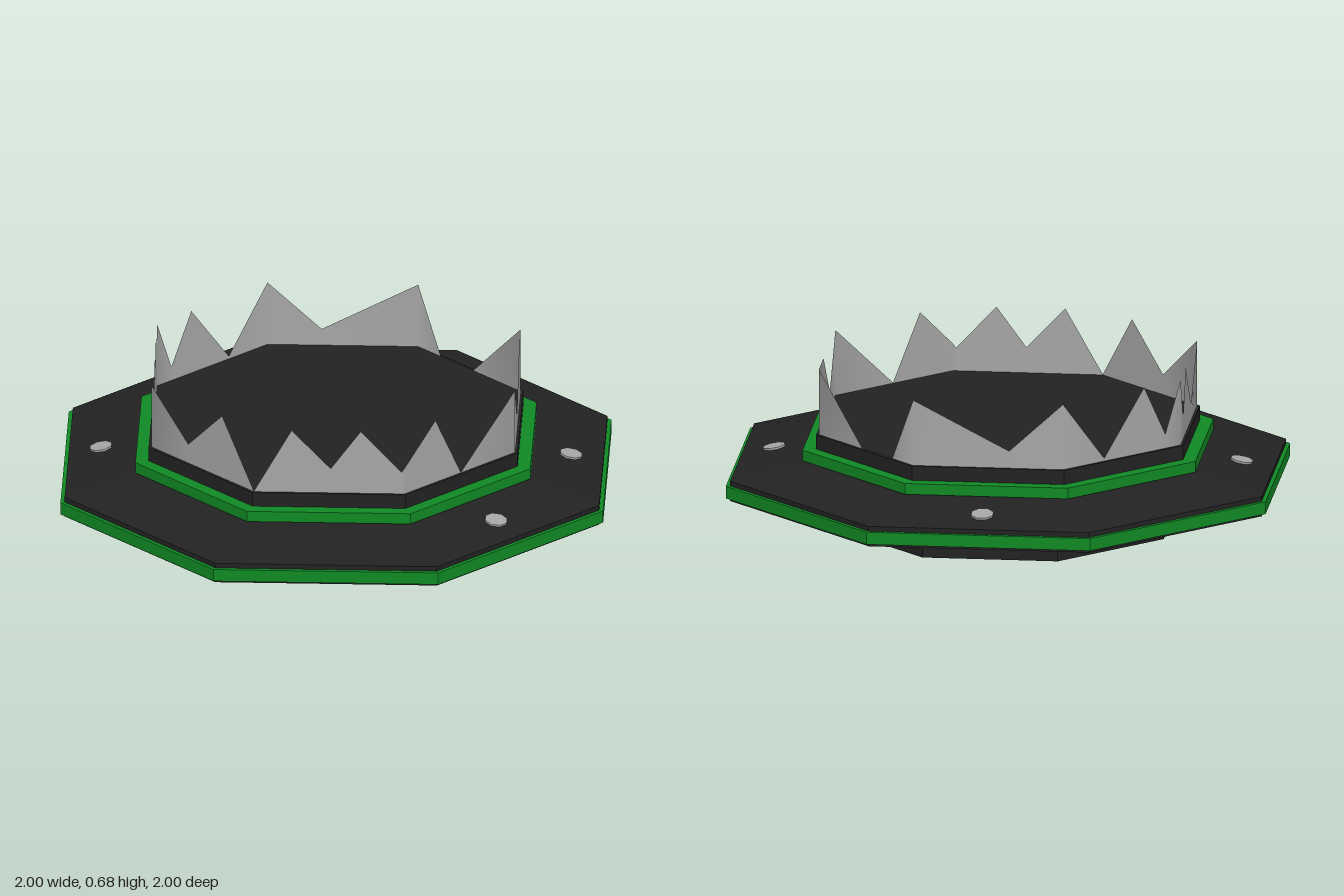
import * as THREE from 'three';

const SIDES = 8;

export function createModel() {
  const model = new THREE.Group();
  model.name = 'saucer';

  const hullDark = new THREE.MeshStandardMaterial({ color: 0x222222, flatShading: true });
  hullDark.name = 'hullDark';
  const trimGreen = new THREE.MeshStandardMaterial({ color: 0x108a24, flatShading: true });
  trimGreen.name = 'trimGreen';
  const glassGrey = new THREE.MeshStandardMaterial({ color: 0xa6a6a6, side: THREE.DoubleSide });
  glassGrey.name = 'glassGrey';

  const add = (name, geometry, material) => {
    const mesh = new THREE.Mesh(geometry, material);
    mesh.name = name;
    model.add(mesh);
    return mesh;
  };
  // Octagonal solid from a radius/height profile, listed bottom to top
  const lathe = (name, profile, material) =>
    add(name, new THREE.LatheGeometry(profile.map(([r, y]) => new THREE.Vector2(r, y)), SIDES), material);

  // Hull: pointed underside, wide disc, cockpit deck
  lathe('underside', [[0, 0], [0.605, 0.11], [0.605, 0.19]], hullDark);
  lathe('disc', [[0.6, 0.185], [0.985, 0.24], [0.985, 0.31], [0.7, 0.36], [0.66, 0.367]], hullDark);
  lathe('deck', [[0.68, 0.36], [0.68, 0.45], [0, 0.45]], hullDark);

  // Green trim bands
  lathe('outerBand', [[0.98, 0.25], [1, 0.25], [1, 0.293], [0.98, 0.293]], trimGreen);
  lathe('deckBand', [[0.67, 0.362], [0.728, 0.362], [0.728, 0.4], [0.67, 0.4]], trimGreen);

  // Lamps lying on the slope, at the middle of four of the sides
  const tilt = Math.atan2(0.05, 0.285 * Math.cos(Math.PI / SIDES));
  for (const side of [1, 2, 4, 6].map((i) => [1.5, 2.5, 4.5, 6.5][[1, 2, 4, 6].indexOf(i)])) {
    const a = (side * Math.PI * 2) / SIDES;
    const lamp = add('lamp', new THREE.CylinderGeometry(0.04, 0.04, 0.012, 8), glassGrey);
    const normal = new THREE.Vector3(Math.sin(a) * Math.sin(tilt), Math.cos(tilt), Math.cos(a) * Math.sin(tilt));
    lamp.quaternion.setFromUnitVectors(new THREE.Vector3(0, 1, 0), normal);
    lamp.position.set(0.8 * Math.sin(a), 0.332, 0.8 * Math.cos(a));
  }

  // Broken glass wall: [corner number + fraction along the side, height of the edge]
  const PEAK = 0.68, LOW = 0.452;
  const edge = [
    [0, LOW], [0.25, PEAK], [0.51, 0.54], [0.71, PEAK], [0.98, 0.53], [1, 0.545],
    [1.28, PEAK], [1.51, LOW], [2, PEAK], [2.34, 0.51], [2.72, PEAK], [3, PEAK],
    [3.46, LOW], [3.78, LOW], [4, PEAK], [4.64, 0.51], [5, PEAK], [5.35, 0.46],
    [5.69, PEAK], [5.87, 0.5], [6, PEAK], [6.15, 0.53], [6.31, PEAK], [6.62, 0.51],
    [7, PEAK], [7.36, 0.52], [7.69, PEAK], [8, LOW],
  ];
  const corner = (i) => {
    const a = (i * Math.PI * 2) / SIDES;
    return new THREE.Vector3(Math.sin(a), 0, Math.cos(a)).multiplyScalar(0.67);
  };
  const positions = [], index = [];
  edge.forEach(([t, y], i) => {
    const p = corner(Math.floor(t)).lerp(corner(Math.floor(t) + 1), t % 1);
    positions.push(p.x, 0.44, p.z, p.x, y, p.z);
    if (i > 0) {
      const b = i * 2;
      index.push(b - 2, b, b + 1, b - 2, b + 1, b - 1);
    }
  });
  const glass = new THREE.BufferGeometry();
  glass.setAttribute('position', new THREE.Float32BufferAttribute(positions, 3));
  glass.setIndex(index);
  glass.computeVertexNormals();
  add('brokenGlass', glass, glassGrey);

  return model;
}
